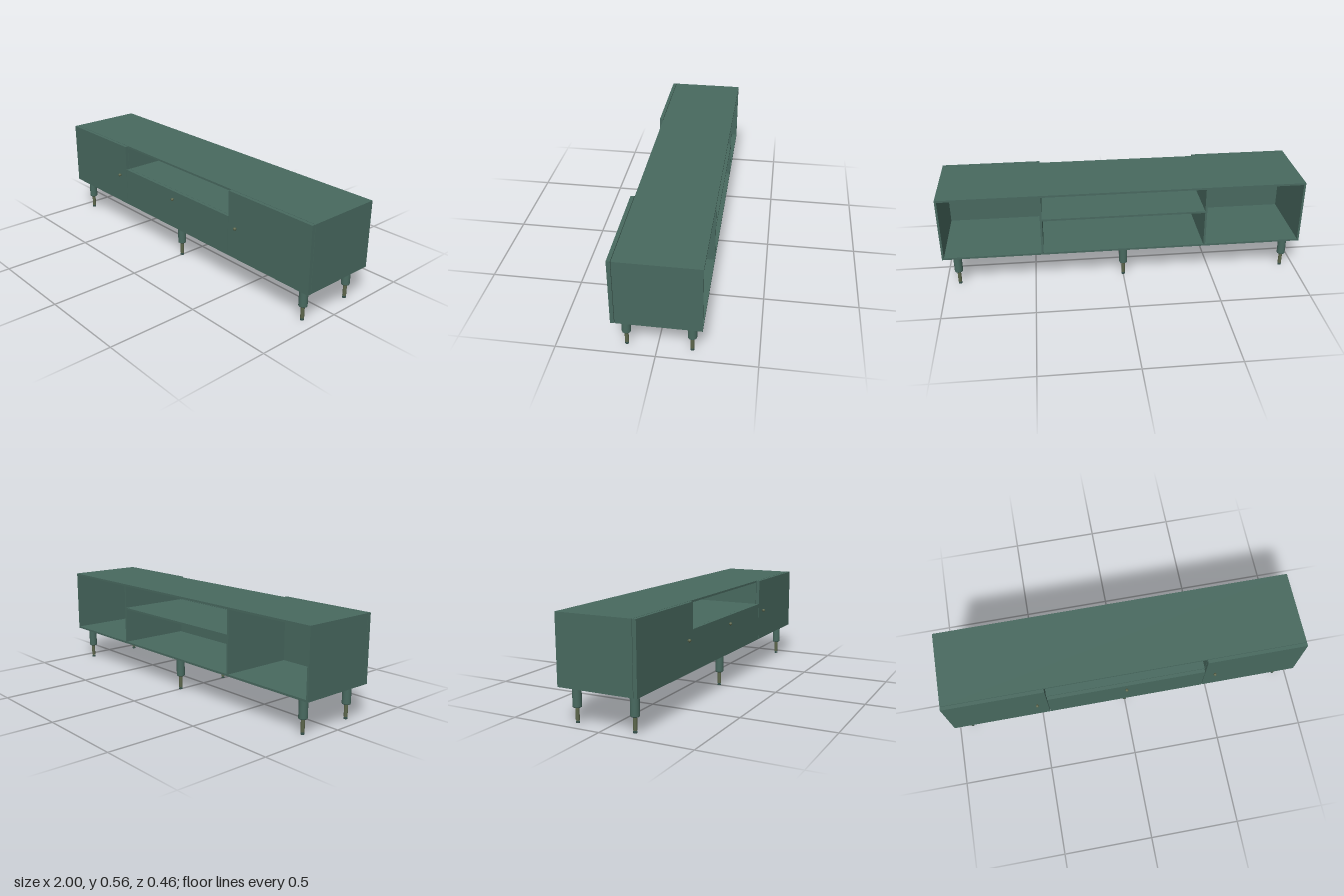
import * as THREE from 'three';

const green = new THREE.MeshStandardMaterial({ color: 0x48695f });
green.name = 'sage green';
const brass = new THREE.MeshStandardMaterial({ color: 0x5c664b });
brass.name = 'olive brass';
const dark = new THREE.MeshStandardMaterial({ color: 0x35504a });
dark.name = 'dark green';

// Box given by its two extreme corners
function panel(parent, name, [x0, y0, z0], [x1, y1, z1]) {
  const mesh = new THREE.Mesh(new THREE.BoxGeometry(x1 - x0, y1 - y0, z1 - z0), green);
  mesh.position.set((x0 + x1) / 2, (y0 + y1) / 2, (z0 + z1) / 2);
  mesh.name = name;
  parent.add(mesh);
}

function lathe(parent, name, material, points, sides = 32) {
  const profile = points.map(([r, y]) => new THREE.Vector2(r, y));
  const mesh = new THREE.Mesh(new THREE.LatheGeometry(profile, sides), material);
  mesh.name = name;
  parent.add(mesh);
  return mesh;
}

function cylinder(parent, name, material, radius, y0, y1) {
  const mesh = new THREE.Mesh(new THREE.CylinderGeometry(radius, radius, y1 - y0, 28), material);
  mesh.position.y = (y0 + y1) / 2;
  mesh.name = name;
  parent.add(mesh);
}

export function createModel() {
  const model = new THREE.Group();
  model.name = 'mediaCabinet';

  const bottom = 0.191, top = 0.555, t = 0.011;
  const back = -0.229, front = 0.191, doorBack = 0.1935, doorFront = 0.213;
  const inner = 0.447;

  // Open-backed carcass
  const carcass = new THREE.Group();
  carcass.name = 'carcass';
  panel(carcass, 'topPanel', [-1, top - t, back], [1, top, front]);
  panel(carcass, 'bottomPanel', [-1, bottom, back], [1, bottom + t, front]);
  panel(carcass, 'shelf', [-inner, 0.401, back], [inner, 0.412, front]);
  for (const [side, s] of [['left', 1], ['right', -1]]) {
    const span = (a, b) => (s > 0 ? [a, b] : [-b, -a]);
    const [e0, e1] = span(1 - t, 1);
    panel(carcass, side + 'SidePanel', [e0, bottom + t, back], [e1, top - t, front]);
    const [d0, d1] = span(inner, inner + t);
    panel(carcass, side + 'Divider', [d0, bottom + t, back], [d1, top - t, front]);
    const [f0, f1] = span(inner, 1);
    panel(model, side + 'Door', [f0, bottom, doorBack], [f1, top, doorFront]);
  }
  model.add(carcass);
  panel(model, 'drawerFront', [-0.444, bottom, doorBack], [0.444, 0.413, doorFront]);

  // Round knobs on short stems
  for (const x of [-0.505, 0, 0.505]) {
    const knob = lathe(model, 'knob', brass, [
      [0.004, 0], [0.004, 0.002], [0.007, 0.004], [0.0088, 0.008],
      [0.0085, 0.012], [0.006, 0.0155], [0.003, 0.0172], [0, 0.0176],
    ], 24);
    knob.rotation.x = Math.PI / 2;
    knob.position.set(x, 0.365, doorFront);
  }

  // Six legs: thick sleeve, slim shaft, levelling foot
  for (const x of [-0.925, 0, 0.925]) {
    for (const z of [0.154, -0.172]) {
      const leg = new THREE.Group();
      leg.name = 'leg';
      lathe(leg, 'legSleeve', green, [
        [0, 0.079], [0.019, 0.079], [0.019, 0.079], [0.022, 0.081],
        [0.023, 0.084], [0.023, 0.084], [0.023, bottom],
      ]);
      cylinder(leg, 'legShaft', brass, 0.01, 0.012, 0.08);
      cylinder(leg, 'footStem', dark, 0.004, 0.006, 0.013);
      cylinder(leg, 'footPad', dark, 0.01, 0, 0.007);
      leg.position.set(x, 0, z);
      model.add(leg);
    }
  }
  return model;
}
